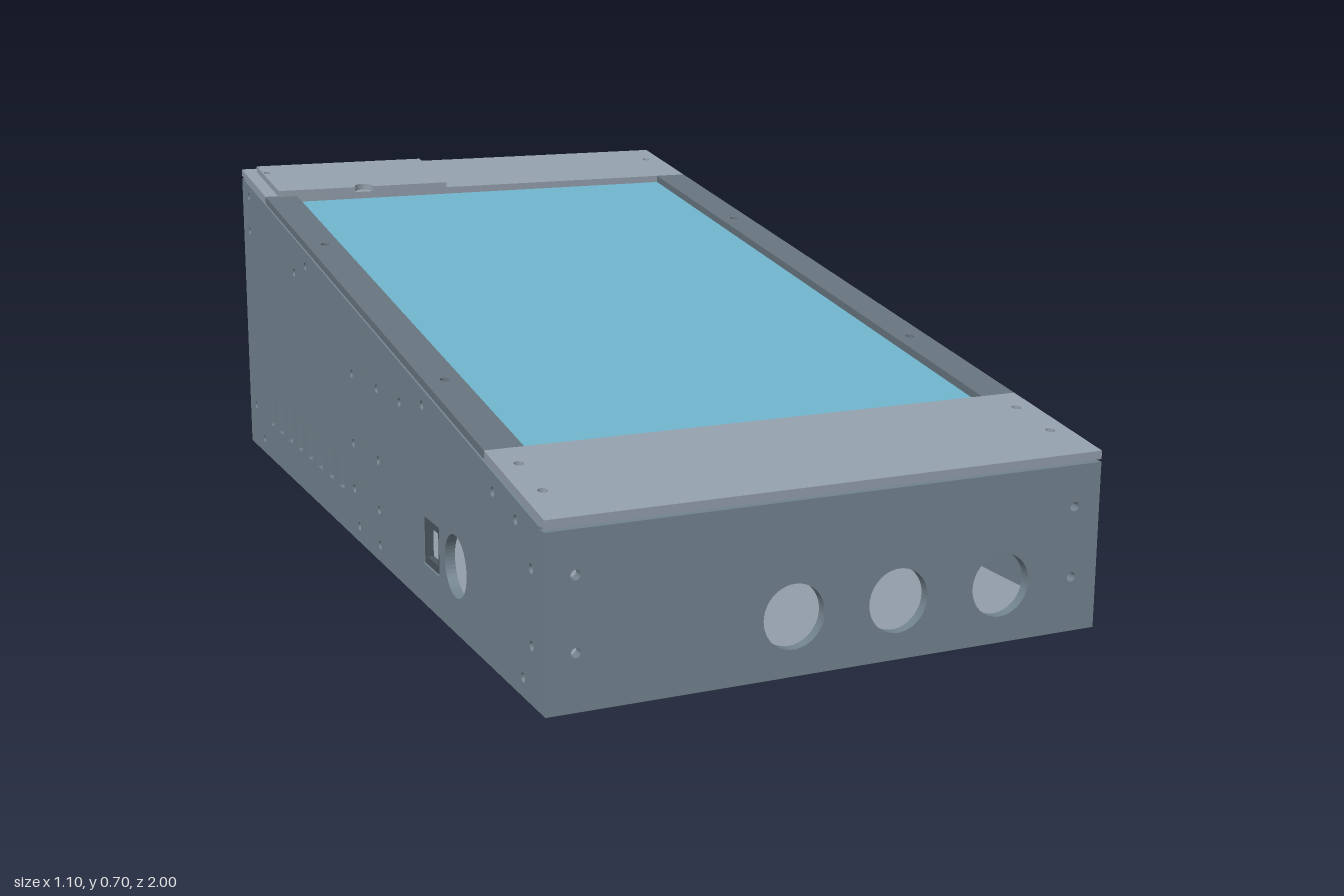
import * as THREE from 'three';
import { RoundedBoxGeometry } from 'three/addons/geometries/RoundedBoxGeometry.js';

const mat = (name, color) => {
  const m = new THREE.MeshStandardMaterial({ color });
  m.name = name;
  return m;
};

// height of the sloping top surface at depth z
const topAt = (z) => 0.515 - 0.175 * z;
const T = 0.02;          // wall thickness
const LID = 0.016;       // lid thickness
const WALL_DROP = 0.021; // top of the walls below the lid surface

const poly = (pts) => new THREE.Shape(pts.map(([x, y]) => new THREE.Vector2(x, y)));
const rect = (x0, y0, x1, y1) => poly([[x0, y0], [x1, y0], [x1, y1], [x0, y1]]);
const circle = (x, y, r) => new THREE.Path().absarc(x, y, r, 0, Math.PI * 2, true);
const extrude = (shape, depth, curveSegments = 16) =>
  new THREE.ExtrudeGeometry(shape, { depth, bevelEnabled: false, curveSegments });

// plate drawn in (x, z), its top lying "drop" below the sloping surface
function slopedPlate(shape, thickness, drop) {
  const g = extrude(shape, thickness).rotateX(Math.PI / 2);
  const p = g.attributes.position;
  for (let i = 0; i < p.count; i++) p.setY(i, p.getY(i) + topAt(p.getZ(i)) - drop);
  g.computeVertexNormals();
  return g;
}

export function createModel() {
  const panel = mat('panel grey', 0x72838e);
  const lid = mat('lid grey', 0x929eaa);
  const strip = mat('strip grey', 0x66737e);
  const glass = mat('screen blue', 0x6eb2ca);
  const green = mat('board green', 0x7fd0aa);
  const brown = mat('backing brown', 0xb0854a);
  const dark = mat('socket dark', 0x4a565e);

  const model = new THREE.Group();
  const add = (name, geometry, material, x = 0, y = 0, z = 0) => {
    const m = new THREE.Mesh(geometry, material);
    m.name = name;
    m.position.set(x, y, z);
    model.add(m);
    return m;
  };

  // side walls, drawn in (-z, y): a front and a rear half with a keyed seam
  const wallTop = (u) => topAt(-u) - WALL_DROP;
  const E = 0.979;
  const seam = (o) => [[o, 0], [o, 0.3], [o + 0.027, 0.3], [o + 0.027, 0.335], [o, 0.335], [o, wallTop(o)]];
  const frontHalf = poly([[-E, 0], ...seam(-0.002), [-E, wallTop(-E)]]);
  const rearHalf = poly([[E, 0], [E, wallTop(E)], ...seam(0.002).reverse()]);
  const screws = [
    [0.94, 0.24], [0.94, 0.105], [0.9, 0.035], [0.87, 0.305], [0.76, 0.325], [0.38, 0.395],
    [0.24, 0.37], [0.09, 0.365], [0.09, 0.215], [0.09, 0.11], [0.09, 0.035], [-0.055, 0.035],
    [-0.085, 0.36], [-0.085, 0.21], [-0.085, 0.11], [-0.43, 0.535], [-0.53, 0.505],
    [-0.94, 0.63], [-0.94, 0.545], [-0.94, 0.105], [-0.865, 0.035],
  ];
  for (const [z, y] of screws) (z > 0 ? frontHalf : rearHalf).holes.push(circle(-z, y, 0.009));
  frontHalf.holes.push(circle(-0.56, 0.13, 0.06), rect(-0.468, 0.082, -0.372, 0.178));
  for (let i = 0; i < 8; i++) {
    const u = 0.182 + i * 0.0857;
    rearHalf.holes.push(rect(u - 0.018, 0.088, u + 0.018, 0.168));
  }
  // square socket frame set into each side
  const socket = rect(-0.468, 0.082, -0.372, 0.178);
  socket.holes.push(rect(-0.452, 0.098, -0.388, 0.162));
  for (const [side, x] of [['left', 0.55 - T], ['right', -0.55]]) {
    add(side + 'FrontWall', extrude(frontHalf, T, 24).rotateY(Math.PI / 2), panel, x);
    add(side + 'RearWall', extrude(rearHalf, T, 24).rotateY(Math.PI / 2), panel, x);
    add(side + 'Socket', extrude(socket, 0.012).rotateY(Math.PI / 2), dark, x + 0.004);
  }

  // front wall with three button holes
  const front = rect(-0.55, 0, 0.55, topAt(1) - WALL_DROP);
  for (const x of [-0.085, 0.125, 0.34]) front.holes.push(circle(x, 0.11, 0.06));
  for (const x of [-0.495, 0.495]) for (const y of [0.105, 0.24]) front.holes.push(circle(x, y, 0.009));
  add('frontWall', extrude(front, T, 24), panel, 0, 0, 1 - T);

  // back wall with fan opening and connector slot
  const fx = 0.02, fy = 0.36, fr = 0.237;
  const back = rect(-0.55, 0, 0.55, topAt(-1) - WALL_DROP);
  back.holes.push(circle(fx, fy, fr), rect(-0.505, 0.21, -0.258, 0.308));
  for (const s of [-1, 1]) {
    for (const t of [-1, 1]) back.holes.push(circle(fx + s * 0.235, fy + t * 0.22, 0.01));
    for (const y of [0.11, 0.53]) back.holes.push(circle(s * 0.495, y, 0.009));
  }
  add('backWall', extrude(back, T, 32), panel, 0, 0, -1);

  // fan grille: hub and swept spokes
  const hub = new THREE.CylinderGeometry(0.055, 0.055, T, 32).rotateX(Math.PI / 2);
  add('fanHub', hub, panel, fx, fy, -1 + T / 2);
  const inner = [], outer = [];
  for (let i = 0; i <= 8; i++) {
    const t = i / 8, r = 0.045 + t * 0.197, a = 0.95 * t * t, w = 0.0085 / r;
    inner.push([r * Math.cos(a - w), r * Math.sin(a - w)]);
    outer.unshift([r * Math.cos(a + w), r * Math.sin(a + w)]);
  }
  const spoke = extrude(poly([...inner, ...outer]), T - 0.002);
  for (let i = 0; i < 10; i++)
    add('fanSpoke', spoke, panel, fx, fy, -1 + 0.001).rotation.z = (i * Math.PI) / 5;

  // floor in two halves with strap slots
  const floorFront = rect(-0.529, 0.002, 0.529, E);
  const floorRear = rect(-0.529, -E, 0.529, -0.002);
  for (const x of [-0.44, 0.44]) for (const z of [-0.76, -0.12])
    floorRear.holes.push(rect(x - 0.013, z - 0.04, x + 0.013, z + 0.04));
  add('frontFloor', extrude(floorFront, T).rotateX(Math.PI / 2), lid, 0, T + 0.001);
  add('rearFloor', extrude(floorRear, T).rotateX(Math.PI / 2), lid, 0, T + 0.001);

  // sloping lid: front and rear plates with side strips between
  const lidFront = rect(-0.55, 0.72, 0.55, 1);
  const lidRear = rect(-0.55, -1, 0.55, -0.77);
  for (const x of [-0.51, 0.51]) {
    for (const z of [0.785, 0.895]) lidFront.holes.push(circle(x, z, 0.009));
    lidRear.holes.push(circle(x, -0.915, 0.009));
    const edge = Math.sign(x);
    const bar = rect(Math.min(edge * 0.475, edge * 0.55), -0.77, Math.max(edge * 0.475, edge * 0.55), 0.72);
    for (const z of [-0.405, 0.4]) bar.holes.push(circle(x, z, 0.009));
    add('lidSideStrip', slopedPlate(bar, LID, 0), strip);
  }
  add('lidFrontPlate', slopedPlate(lidFront, LID, 0), lid);
  add('lidRearPlate', slopedPlate(lidRear, LID, 0), lid);

  // access hatch with a finger notch
  const hatch = new THREE.Shape();
  hatch.moveTo(-0.52, -0.97);
  hatch.lineTo(-0.1, -0.97);
  hatch.lineTo(-0.1, -0.762);
  hatch.lineTo(-0.285, -0.762);
  hatch.absarc(-0.308, -0.762, 0.023, 0, Math.PI, true);
  hatch.lineTo(-0.52, -0.762);
  hatch.holes.push(circle(-0.508, -0.912, 0.009));
  add('accessHatch', slopedPlate(hatch, 0.014, -0.0145), lid);

  // screen, its backing and the rounded unit inside the case
  add('screen', slopedPlate(rect(-0.485, -0.785, 0.485, 0.735), 0.05, 0.018), glass);
  add('screenBacking', slopedPlate(rect(-0.44, -0.46, 0.44, 0.7), 0.07, 0.07), brown);
  add('innerUnit', new RoundedBoxGeometry(0.84, 0.18, 0.8, 5, 0.06), green, 0, 0.115, -0.47);

  return model;
}
